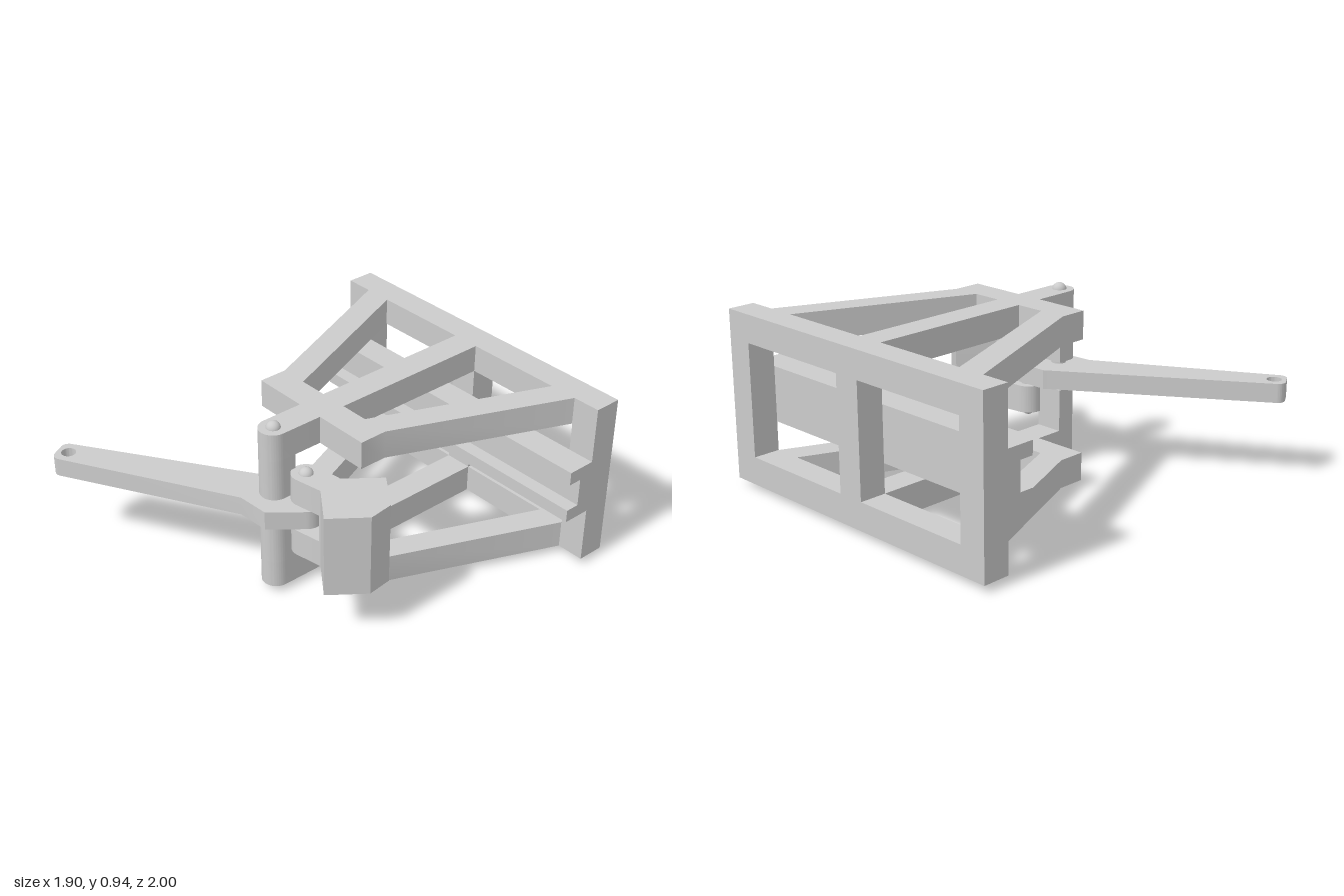
import * as THREE from 'three';
import { toCreasedNormals } from 'three/addons/utils/BufferGeometryUtils.js';

const MID = 0.0725;                       // x of the frame's symmetry plane
const PIVOT = [MID, 0.385];               // main pin, plan (x, z)
const JOINT = [0.21, 0.305];              // jaw pin, plan (x, z)
const material = new THREE.MeshStandardMaterial({ color: 0xcccccc });

function add(group, name, geometry, x = 0, y = 0, z = 0) {
  const mesh = new THREE.Mesh(geometry, material);
  mesh.name = name;
  mesh.position.set(x, y, z);
  group.add(mesh);
  return mesh;
}

// Extrudes a plan shape (shape y = -z) upward from y0 to y1
function slab(shape, y0, y1) {
  const g = new THREE.ExtrudeGeometry(shape, { depth: y1 - y0, bevelEnabled: false, curveSegments: 20 });
  g.rotateX(-Math.PI / 2).translate(0, y0, 0);
  return toCreasedNormals(g, 0.5);
}

// Adds straight plan points (x, z) to a shape
function lines(shape, points) {
  for (const [x, z] of points) shape.lineTo(x, -z);
  return shape;
}

const start = (x, z) => new THREE.Shape().moveTo(x, -z);

// Back frame with two windows, extruded along z
function backFrame() {
  const rect = (path, x0, y0, x1, y1) => {
    path.moveTo(x0, y0).lineTo(x1, y0).lineTo(x1, y1).lineTo(x0, y1).closePath();
    return path;
  };
  const s = rect(new THREE.Shape(), -0.8, 0.035, 0.945, 0.905);
  s.holes.push(rect(new THREE.Path(), -0.657, 0.18, 0, 0.762));
  s.holes.push(rect(new THREE.Path(), 0.145, 0.18, 0.802, 0.762));
  return new THREE.ExtrudeGeometry(s, { depth: 0.143, bevelEnabled: false }).translate(0, 0, -1);
}

// Channel rail, profile in (z, y) swept along x
function rail() {
  const s = new THREE.Shape([
    [-0.857, 0.33], [-0.71, 0.33], [-0.71, 0.397], [-0.783, 0.397],
    [-0.783, 0.545], [-0.71, 0.545], [-0.71, 0.615], [-0.857, 0.615],
  ].map(([z, y]) => new THREE.Vector2(-z, y)));
  const g = new THREE.ExtrudeGeometry(s, { depth: 1.745, bevelEnabled: false });
  return g.rotateY(Math.PI / 2).translate(-0.8, 0, 0);
}

// Three-legged arm with a crossbar and a rounded nose
function armShape() {
  const s = lines(start(-0.655, -0.857), [[-0.29, 0.02], [-0.29, 0.165], [0, 0.165], [0, PIVOT[1]]]);
  s.absarc(PIVOT[0], -PIVOT[1], 0.0725, Math.PI, 2 * Math.PI, false);
  return lines(s, [
    [0.145, 0.165], [0.435, 0.165], [0.435, 0.02], [0.8, -0.857], [0.655, -0.857], [0.295, 0.02],
    [0.145, 0.02], [0.145, -0.857], [0, -0.857], [0, 0.02], [-0.15, 0.02], [-0.51, -0.857],
  ]);
}

function postShape() {
  const s = lines(start(0, 0.315), [[0, PIVOT[1]]]);
  s.absarc(PIVOT[0], -PIVOT[1], 0.0725, Math.PI, 2 * Math.PI, false);
  return lines(s, [[0.145, 0.315]]);
}

// Cranked lever with a rounded, drilled handle end
function leverShape() {
  const hole = [-0.88, -0.92], a = THREE.MathUtils.degToRad(209.8);
  const s = start(-0.09, 0.39);
  for (const side of [-1, 1]) {
    const p = a + side * Math.PI / 2;
    const cx = hole[0] + 0.02 * Math.cos(a) + 0.032 * Math.cos(p);
    const cy = hole[1] + 0.02 * Math.sin(a) + 0.032 * Math.sin(p);
    const from = side < 0 ? p : a;
    s.absarc(cx, cy, 0.04, from, from + Math.PI / 2, false);
  }
  lines(s, [[-0.02, 0.515], [0.145, 0.505]]);
  s.absarc(JOINT[0], -JOINT[1], 0.08, -0.73, Math.PI * 0.55, false);
  lines(s, [[0.03, 0.225]]);
  s.holes.push(new THREE.Path().absarc(hole[0], hole[1], 0.037, 0, Math.PI * 2, true));
  return s;
}

const HEAD = [[0.54, 0.48], [0.67, 0.31], [0.655, 0.18], [0.48, 0.05]];

// Jaw outline: rounded eye, neck and faceted head
function jawShape() {
  const s = lines(start(0.22, 0.378), [[0.365, 0.35], ...HEAD, [0.35, 0.215]]);
  s.absarc(JOINT[0], -JOINT[1], 0.0735, Math.PI * 0.46, Math.PI * 1.54, false);
  return s;
}

function pin(y0, y1) {
  return new THREE.CapsuleGeometry(0.036, y1 - y0 - 0.072, 8, 24).translate(0, (y0 + y1) / 2, 0);
}

export function createModel() {
  const model = new THREE.Group();
  model.name = 'leverClamp';

  // Fixed frame
  const frame = new THREE.Group();
  frame.name = 'frame';
  model.add(frame);
  add(frame, 'backFrame', backFrame());
  add(frame, 'channelRail', rail());
  add(frame, 'lowerArm', slab(armShape(), 0.035, 0.18));
  add(frame, 'upperArm', slab(armShape(), 0.762, 0.905));
  add(frame, 'lowerPost', slab(postShape(), 0.18, 0.397));
  add(frame, 'upperPost', slab(postShape(), 0.545, 0.762));

  // Lever and pins
  add(model, 'lever', slab(leverShape(), 0.422, 0.52));
  add(model, 'pivotPin', pin(0, 0.938), PIVOT[0], 0, PIVOT[1]);
  add(model, 'jawPin', pin(0.225, 0.717), JOINT[0], 0, JOINT[1]);

  // Forked jaw
  const jaw = new THREE.Group();
  jaw.name = 'jaw';
  model.add(jaw);
  add(jaw, 'lowerFork', slab(jawShape(), 0.255, 0.397));
  add(jaw, 'upperFork', slab(jawShape(), 0.545, 0.687));
  add(jaw, 'headCore', slab(lines(start(0.355, 0.351), [[0.365, 0.35], ...HEAD, [0.355, 0.209]]), 0.397, 0.545));

  return model;
}
